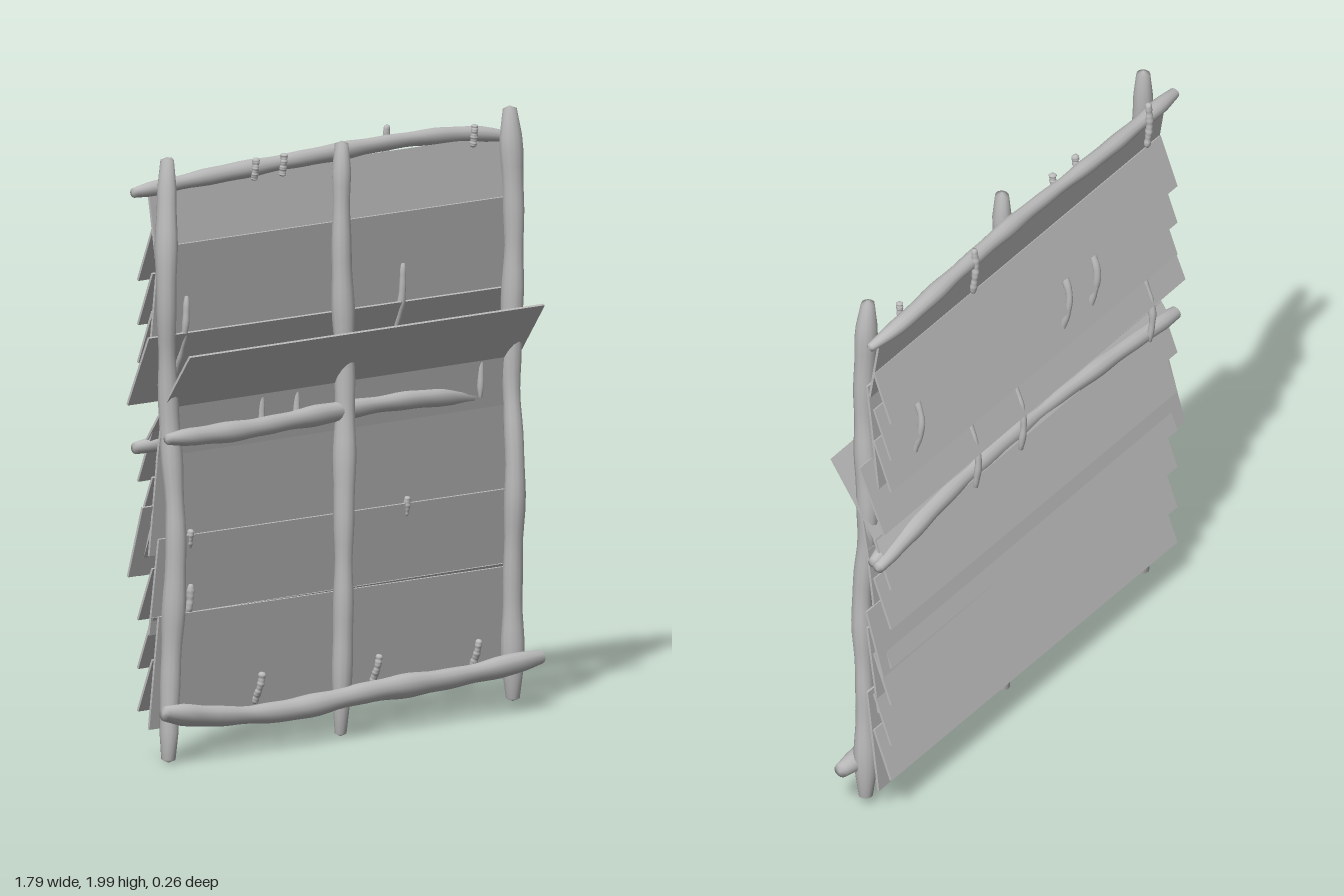
import * as THREE from 'three';
import { mergeVertices } from 'three/addons/utils/BufferGeometryUtils.js';

const V = (x, y, z) => new THREE.Vector3(x, y, z);

// rough pole: a tube along the points, lumpy, with blunt closed ends
function poleGeometry(points, radius, seed = 1) {
  const n = 40, sides = 12;
  const curve = new THREE.CatmullRomCurve3(points.map(p => V(...p)));
  const g = new THREE.TubeGeometry(curve, n, radius, sides);
  const pos = g.attributes.position, v = V(0, 0, 0);
  for (let i = 0; i <= n; i++) {
    const center = curve.getPointAt(i / n);
    const edge = Math.min(i, n - i);
    // the ring next to each end moves outwards to make a blunt cap
    const u = i === 1 ? 0.005 : i === n - 1 ? 0.995 : i / n;
    const target = curve.getPointAt(u);
    const cap = edge === 0 ? 0 : edge === 1 ? 0.65 : edge === 2 ? 0.95 : 1;
    const lump = 1 + 0.08 * Math.sin(i * 0.55 + seed * 2.1) + 0.05 * Math.sin(i * 1.3 + seed);
    for (let j = 0; j <= sides; j++) {
      const k = i * (sides + 1) + j;
      const ripple = 1 + 0.06 * Math.sin((j % sides) * Math.PI / 3 + seed + i * 0.2);
      v.fromBufferAttribute(pos, k).sub(center).multiplyScalar(cap * lump * ripple).add(target);
      pos.setXYZ(k, v.x, v.y, v.z);
    }
  }
  g.deleteAttribute('uv');
  g.deleteAttribute('normal');
  const merged = mergeVertices(g, 1e-5);
  merged.computeVertexNormals();
  return merged;
}

export function createModel() {
  const model = new THREE.Group();
  const wood = new THREE.MeshStandardMaterial({ color: 0xbcbcbc });
  wood.name = 'weathered grey';

  const add = (name, geometry) => {
    const mesh = new THREE.Mesh(geometry, wood);
    mesh.name = name;
    model.add(mesh);
    return mesh;
  };

  // upright posts
  add('rightPost', poleGeometry([[-0.8, 0.01, 0.015], [-0.79, 0.3, 0.015], [-0.785, 0.75, 0.035],
    [-0.79, 1.2, 0.005], [-0.825, 1.6, 0.03], [-0.8, 2, 0.01]], 0.034, 1));
  add('middlePost', poleGeometry([[0, 0.01, 0.01], [0, 0.3, 0.02], [-0.01, 0.75, 0.035],
    [0, 1.2, 0.03], [-0.015, 1.6, 0.03], [-0.01, 1.97, 0.025]], 0.034, 2));
  add('leftPost', poleGeometry([[0.795, 0.04, 0.01], [0.785, 0.45, 0.02], [0.78, 0.8, 0.035],
    [0.785, 1.15, 0.01], [0.785, 1.6, 0.025], [0.775, 2, 0.015]], 0.034, 3));

  // cross rails
  add('topRail', poleGeometry([[-0.9, 1.885, -0.05], [-0.5, 1.9, -0.065], [0, 1.915, -0.06],
    [0.4, 1.92, -0.07], [0.7, 1.905, -0.07], [0.86, 1.88, -0.045]], 0.027, 4));
  add('frontMiddleRail', poleGeometry([[-0.87, 1.085, 0.075], [-0.5, 1.075, 0.055], [-0.1, 1.08, 0.025],
    [0.3, 1.08, 0.005], [0.6, 1.06, -0.03], [0.86, 1.03, -0.06]], 0.031, 5));
  add('backMiddleRail', poleGeometry([[-0.87, 1.04, -0.075], [-0.5, 1.06, -0.06], [0, 1.065, -0.045],
    [0.5, 1.06, -0.06], [0.87, 1.025, -0.085]], 0.03, 7));
  add('bottomRail', poleGeometry([[-0.855, 0.18, 0.045], [-0.6, 0.145, 0.05], [-0.3, 0.13, 0.05],
    [0.1, 0.15, 0.05], [0.5, 0.155, 0.05], [0.89, 0.18, 0.05]], 0.035, 6));

  // a thin board between its upper edge (y, z) and lower edge (y, z)
  const board = (name, y1, z1, y0, z0, width = 1.64, slant = -0.004, x = 0) => {
    const mesh = add(name, new THREE.BoxGeometry(width, Math.hypot(y1 - y0, z1 - z0), 0.008));
    mesh.position.set(x, (y1 + y0) / 2, (z1 + z0) / 2);
    mesh.rotation.set(Math.atan2(z1 - z0, y1 - y0), 0, slant);
  };

  // steep inner boards
  board('topBoard', 1.895, -0.06, 1.66, -0.022);
  for (const [top, bottom] of [[1.7, 1.31], [1.05, 0.68], [0.74, 0.42], [0.485, 0.11]])
    board('innerBoard', top, -0.012, bottom, -0.055);
  board('innerBoard', 1.19, 0.012, 0.99, -0.02);

  // overlapping outer shingles
  for (const y of [1.585, 1.44, 1.315, 0.925, 0.77, 0.615, 0.47, 0.31, 0.17])
    board('outerShingle', y + 0.175, -0.043, y, -0.11, 1.64, 0.003, 0.005);
  board('wideShingle', 1.405, -0.012, 1.175, -0.108, 1.735, -0.006);
  board('wideShingle', 0.845, -0.04, 0.61, -0.105, 1.735, -0.006);

  // tilted board passing from the front through to the back
  board('tiltedBoard', 1.355, 0.13, 1.05, -0.075, 1.64, -0.003);

  // binding twigs, each at x with a path of (y, z) points
  let seed = 0;
  const twigs = (xs, path) => xs.forEach(x =>
    add('bindingTwig', poleGeometry(path.map(([y, z]) => [x, y, z]), 0.0115, seed++)));
  twigs([-0.69, 0.31], [[1.975, -0.085], [1.9, -0.09], [1.8, -0.08]]);
  twigs([-0.35, -0.22, 0.66], [[1.945, -0.03], [1.91, -0.032], [1.87, -0.04]]);
  twigs([-0.69, 0.05, 0.31], [[1.53, -0.01], [1.4, -0.02], [1.16, -0.1], [1.03, -0.09]]);
  twigs([-0.36, -0.2, 0.65], [[1.6, -0.08], [1.5, -0.11], [1.36, -0.08], [1.17, 0.0], [1.05, 0.005]]);
  twigs([-0.67, 0.07, 0.33], [[0.76, -0.01], [0.71, -0.02], [0.66, -0.05]]);
  twigs([-0.67], [[0.58, -0.01], [0.5, -0.02], [0.42, -0.06]]);
  twigs([-0.34, 0.2, 0.66], [[0.255, -0.01], [0.21, -0.02], [0.15, -0.05]]);

  return model;
}
